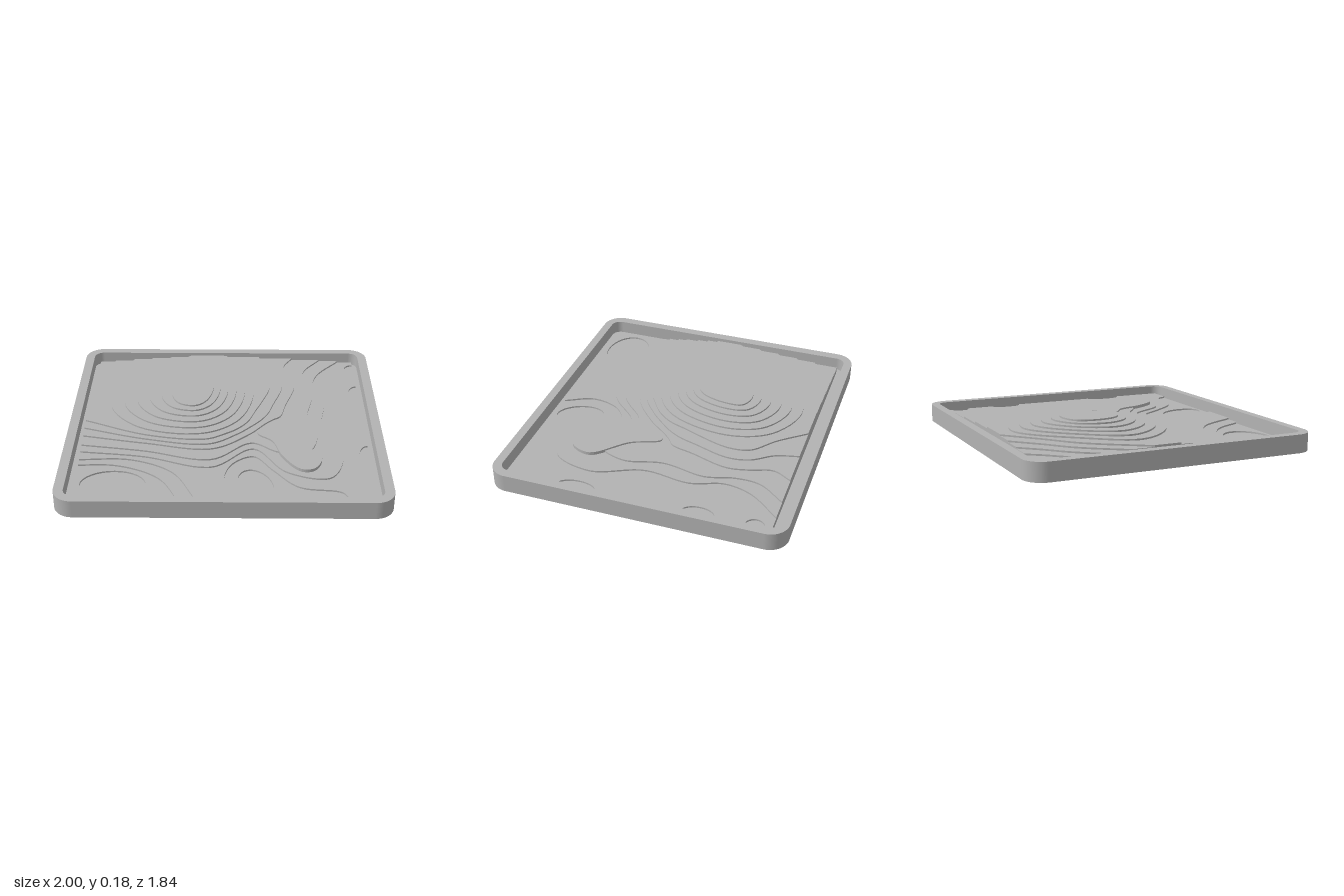
import * as THREE from 'three';

const TOP = 0.18, STEP = 0.0103, FLOOR = 0.03, RIM = 0.115;
const HALF_X = 0.9, HALF_Z = 0.82;

// Key contours as x, z pairs in hundredths; the ones between are blended
const peakInner = [-35, -18, -32, -35, -19, -40, -9, -36, -8, -24, -13, -9, -20, -4, -30, -7];
const peakOuter = [-75, -13, -58, -42, -24, -73, 8, -61, 19, -34, 9, 5, -14, 21, -55, 14];
const slopeHigh = [0, -82, 14, -65, 28, -52, 30, -38, 24, -18, 20, -8, 15, 5, 8, 14, 0, 20, -12, 26, -48, 22, -90, 5];
const slopeMid = [47, -82, 41, -70, 45, -56, 47, -42, 40, -18, 36, -4, 31, 0, 26, 5, 15, 18, -8, 34, -50, 28, -90, 20];
const slopeLow = [80, -82, 64, -62, 60, -45, 66, -25, 63, 5, 74, 36, 64, 62, 38, 56, 18, 31, -8, 51, -50, 40, -90, 35];
const cornerHigh = [-90, -12, -66, -46, -45, -64, -25, -82];
const cornerLow = [-90, -66, -85, -70, -82, -75, -79, -82];
const ridge = [33, 4, 42, 22, 60, 42, 55, 55, 47, 56, 36, 42, 30, 25, 21, 16];
const basin = [74, 82, 70, 75, 45, 70, 30, 53, 18, 38, 5, 46, 0, 64, 8, 82];
const shore = [-17, 82, -32, 55, -58, 42, -90, 42];

const blend = (a, b, t) => a.map((v, i) => THREE.MathUtils.lerp(v, b[i], t));

// Plan point, kept inside the terrain block (shape y is -z)
const plan = (x, z) => new THREE.Vector2(
  THREE.MathUtils.clamp(x, -HALF_X, HALF_X), THREE.MathUtils.clamp(-z, -HALF_Z, HALF_Z));

// Smooth curve through x, z pairs
function smooth(flat, closed = false) {
  const pts = [];
  for (let i = 0; i < flat.length; i += 2) pts.push(new THREE.Vector3(flat[i] / 100, 0, flat[i + 1] / 100));
  const out = new THREE.CatmullRomCurve3(pts, closed, 'centripetal').getPoints(pts.length * 7);
  if (closed) out.pop();
  return out.map(p => plan(p.x, p.z));
}

// Half-round bite in the right edge of the block
function bite(z, half) {
  return Array.from({ length: 13 }, (_, k) => {
    const a = Math.PI * k / 12;
    return plan(HALF_X - 0.06 * Math.sin(a), z - half * Math.cos(a));
  });
}

function ellipse(x, z, rx, rz, turn = 0) {
  return new THREE.Path().absellipse(x, -z, rx, rz, 0, Math.PI * 2, false, turn);
}

function roundedRect(w, d, r) {
  const s = new THREE.Shape();
  [[1, 1], [-1, 1], [-1, -1], [1, -1]].forEach(([sx, sy], i) =>
    s.absarc(sx * (w - r), sy * (d - r), r, i * Math.PI / 2, (i + 1) * Math.PI / 2));
  s.closePath();
  return s;
}

export function createModel() {
  const model = new THREE.Group();
  const grey = new THREE.MeshStandardMaterial({ color: 0xb2b2b2 });
  grey.name = 'grey';

  function group(name) {
    const g = new THREE.Group();
    g.name = name;
    model.add(g);
    return g;
  }

  // Upright slab of a plan shape between two heights
  function slab(name, shape, y0, y1, parent) {
    const geo = new THREE.ExtrudeGeometry(shape, { depth: y1 - y0, bevelEnabled: false, curveSegments: 16 });
    geo.rotateX(-Math.PI / 2).translate(0, y0, 0);
    const mesh = new THREE.Mesh(geo, grey);
    mesh.name = name;
    parent.add(mesh);
  }

  // Tray: floor and raised rim
  const tray = group('tray');
  slab('trayFloor', roundedRect(1, 0.92, 0.12), 0, FLOOR, tray);
  const rim = roundedRect(1, 0.92, 0.12);
  rim.holes.push(roundedRect(0.94, 0.865, 0.06));
  slab('trayRim', rim, FLOOR, RIM, tray);

  // Terrain: each layer is one step lower than the last
  const terrain = group('terrain');
  let y = TOP;
  function layer(name, points, holes = []) {
    const shape = new THREE.Shape(points);
    shape.holes.push(...holes);
    slab(name, shape, y - STEP, y, terrain);
    y -= STEP;
  }

  // Closed rings of the peak
  for (let i = 0; i < 6; i++) layer('peakLayer', smooth(blend(peakInner, peakOuter, (i / 5) ** 1.1), true));

  // Slopes running out to the back and left edges
  [0, 0.5, 1, 1.6, 2].forEach((t, i) => {
    const edge = t <= 1 ? blend(slopeHigh, slopeMid, t) : blend(slopeMid, slopeLow, t - 1);
    layer('slopeLayer', [...smooth(edge), ...smooth(blend(cornerHigh, cornerLow, i / 4))]);
  });

  // Low ground with its basin, pit and hollow
  const back = [plan(-HALF_X, -HALF_Z), plan(HALF_X, -HALF_Z)];
  const frontRight = plan(HALF_X, HALF_Z);
  layer('plainLayer', [...back, ...bite(-0.72, 0.06), ...bite(-0.38, 0.1), ...bite(0.38, 0.12),
    frontRight, ...smooth(basin), ...smooth(shore)]);
  const lowerShore = shore.map((v, i) => v + (i % 2 ? 5 : -8));
  layer('basinLayer', [...back, frontRight, ...smooth(lowerShore)], [ellipse(0.19, 0.66, 0.1, 0.155, 0.35)]);
  layer('bottomLayer', [...back, frontRight, plan(-HALF_X, HALF_Z)], [ellipse(-0.67, 0.66, 0.2, 0.145)]);
  slab('terrainBase', roundedRect(HALF_X, HALF_Z, 0.02), FLOOR, y, terrain);

  // Small ridge on the right slope
  const ridgeTop = TOP - 8 * STEP;
  slab('ridge', new THREE.Shape(smooth(ridge, true)), ridgeTop - 2 * STEP, ridgeTop, terrain);
  return model;
}
